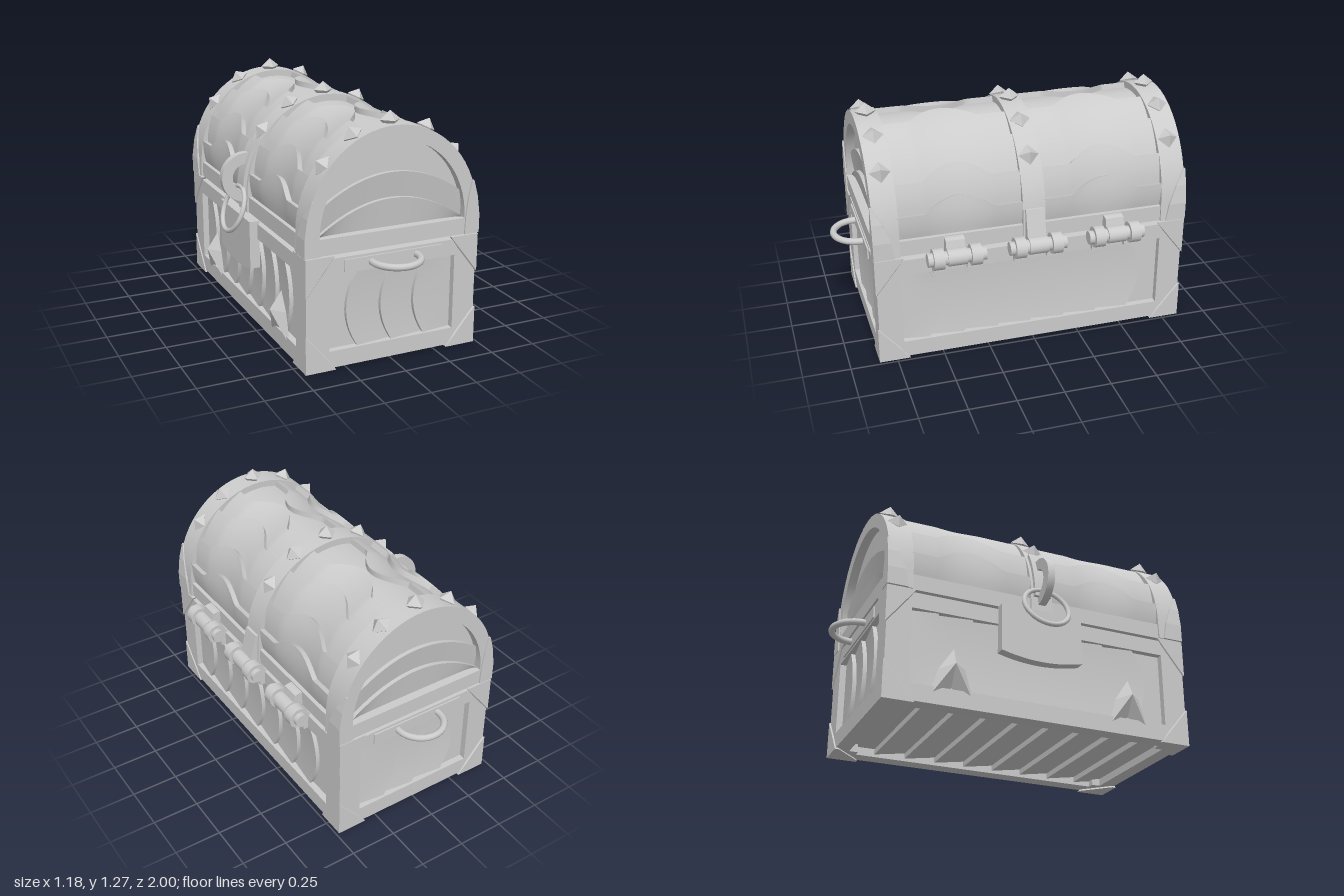
import * as THREE from 'three';
import { toCreasedNormals } from 'three/addons/utils/BufferGeometryUtils.js';
import { ConvexGeometry } from 'three/addons/geometries/ConvexGeometry.js';

const mat = new THREE.MeshStandardMaterial({ color: 0xcccccc, flatShading: true });
const smooth = new THREE.MeshStandardMaterial({ color: 0xcccccc });
const sheet = new THREE.MeshStandardMaterial({ color: 0xcccccc, side: THREE.DoubleSide });
const V = (x, y, z) => new THREE.Vector3(x, y, z);

function add(parent, name, geo, material = mat) {
  const m = new THREE.Mesh(geo, material);
  m.name = name;
  parent.add(m);
  return m;
}

// Box given by its limits
function box(parent, name, x0, x1, y0, y1, z0, z1) {
  const m = add(parent, name, new THREE.BoxGeometry(x1 - x0, y1 - y0, z1 - z0));
  m.position.set((x0 + x1) / 2, (y0 + y1) / 2, (z0 + z1) / 2);
}

function extrude(pts, depth, hole) {
  const shape = new THREE.Shape(pts);
  if (hole) shape.holes.push(new THREE.Path(hole));
  return toCreasedNormals(new THREE.ExtrudeGeometry(shape, { depth, bevelEnabled: false }), 0.5);
}

// Overlapping planks: each starts with a riser at edges[k](v) and slopes down to the next edge
function planks(parent, name, map, edges, v0, v1, n, step) {
  const pos = [], idx = [], m = 5, w = m + 2;
  for (let k = 0; k < edges.length - 1; k++) {
    const start = pos.length / 3;
    for (let j = 0; j <= n; j++) {
      const v = v0 + (v1 - v0) * j / n, a = edges[k](v), b = edges[k + 1](v);
      pos.push(...map(a, v, 0));
      for (let i = 0; i <= m; i++) pos.push(...map(a + (b - a) * i / m, v, k ? step * (1 - i / m) : 0));
    }
    for (let j = 0; j < n; j++) for (let i = 0; i < w - 1; i++) {
      const p = start + j * w + i;
      idx.push(p, p + 1, p + w, p + 1, p + w + 1, p + w);
    }
  }
  const g = new THREE.BufferGeometry();
  g.setAttribute('position', new THREE.Float32BufferAttribute(pos, 3));
  g.setIndex(idx);
  return add(parent, name, toCreasedNormals(g, 0.5), sheet);
}

// Points on an ellipse centred on x = 0
function arc(a, b, cy, t0, t1, n) {
  const pts = [];
  for (let i = 0; i <= n; i++) {
    const t = t0 + (t1 - t0) * i / n;
    pts.push(new THREE.Vector2(a * Math.cos(t), cy + b * Math.sin(t)));
  }
  return pts;
}

function buildBody() {
  const g = new THREE.Group();
  g.name = 'body';
  const bow = y => 1 - ((y - 0.3) / 0.2) ** 2;
  for (const s of [-1, 1]) {
    // Frame
    for (const [y0, y1] of [[0.01, 0.1], [0.5, 0.585]]) {
      const a = s * 0.43, b = s * 0.798;
      box(g, 'sideRail', a - 0.042, a + 0.042, y0, y1, -0.838, 0.838);
      box(g, 'endRail', -0.472, 0.472, y0, y1, b - 0.04, b + 0.04);
    }
    for (const t of [-1, 1]) {
      const x = s * 0.41, z = t * 0.774;
      box(g, 'cornerPost', x - 0.062, x + 0.062, 0.01, 0.585, z - 0.064, z + 0.064);
      // Metal corners with a thin rim
      for (const [y, h, w] of [[0, 0.2, 0.165], [0.6, -0.2, 0.155]]) {
        const X = s * 0.478, Z = t * 0.845, x1 = X - s * 0.02, z1 = Z - t * 0.02;
        add(g, 'cornerBracket', new ConvexGeometry([V(X, y, Z), V(X - s * w, y, Z), V(X - s * w, y, z1),
          V(X, y + h, Z), V(x1, y + h, z1), V(X, y, Z - t * w), V(x1, y, Z - t * w)]));
      }
    }
    // Long side planks
    const sideEdges = [() => -0.715];
    for (let k = 6; k >= 0; k--) sideEdges.push(y => 0.567 - 0.184 * k - 0.062 * bow(y));
    sideEdges.push(() => 0.715);
    const side = planks(g, 'sidePlanks', (z, y, d) => [0.437 + d, y, z], sideEdges, 0.095, 0.505, 14, 0.022);
    if (s < 0) side.rotation.y = Math.PI;
    // End planks
    const endEdges = [() => -0.355, ...[-0.19, 0, 0.185].map(x => y => x - 0.062 * bow(y)), () => 0.355];
    planks(g, 'endPlanks', (x, y, d) => [x, y, s * (0.803 + d)], endEdges, 0.095, 0.505, 14, 0.022);
    // Carrying handle
    box(g, 'handlePlate', -0.27, 0.27, 0.51, 0.572, s * 0.838 - 0.008, s * 0.838 + 0.008);
    const ring = add(g, 'handle', new THREE.TorusGeometry(0.126, 0.018, 10, 36), smooth);
    ring.rotation.x = Math.PI / 2;
    ring.position.set(0, 0.542, s * 0.856);
  }
  // Floor and inner top
  const floorEdges = [];
  for (let k = 0; k <= 9; k++) floorEdges.push(() => -0.78 + 1.56 * k / 9);
  planks(g, 'floorPlanks', (z, x, d) => [x, 0.055 - d, z], floorEdges, -0.41, 0.41, 1, 0.03);
  box(g, 'innerTop', -0.42, 0.42, 0.55, 0.58, -0.79, 0.79);
  return g;
}

function buildLid() {
  const g = new THREE.Group();
  g.name = 'lid';
  box(g, 'lidFloor', -0.43, 0.43, 0.605, 0.63, -0.8, 0.8);
  // Arched bands
  const outline = [...arc(0.47, 0.51, 0.7, 0, Math.PI, 32), new THREE.Vector2(-0.475, 0.605), new THREE.Vector2(0.475, 0.605)];
  const hole = arc(0.4, 0.445, 0.69, 0, Math.PI, 32);
  for (const s of [-1, 1]) add(g, 'endBand', extrude(outline, 0.13, hole), smooth).position.z = s * 0.773 - 0.065;
  add(g, 'middleBand', extrude(outline, 0.12), smooth).position.z = -0.06;
  // Pyramid studs, the lower ones sunk deeper
  for (const z of [-0.77, 0, 0.77]) for (const t of [0.715, 1.14, Math.PI / 2, Math.PI - 1.14, Math.PI - 0.715]) {
    const stud = new THREE.Group(), sink = 0.02 * Math.abs(Math.cos(t));
    stud.name = 'stud';
    add(stud, 'studBase', new THREE.CylinderGeometry(0.055, 0.035, 0.02, 4)).position.y = 0.005;
    add(stud, 'studPoint', new THREE.ConeGeometry(0.055, 0.045, 4)).position.y = 0.0375;
    stud.position.set((0.47 - sink) * Math.cos(t), 0.7 + (0.51 - sink) * Math.sin(t), z);
    stud.quaternion.setFromUnitVectors(V(0, 1, 0), V(Math.cos(t) / 0.47, Math.sin(t) / 0.51, 0).normalize());
    g.add(stud);
  }
  // Wavy roof planks
  const wave = z => {
    const u = Math.abs(Math.abs(z) - 0.39) / 0.18;
    return u < 1 ? Math.cos(u * Math.PI / 2) : 0;
  };
  const roof = [() => Math.PI / 2, ...[[1.32, 0.22], [0.98, 0.2], [0.57, 0.18], [0.24, 0.16]].map(([t, h]) => z => t + h * wave(z)), () => -0.03];
  for (const s of [-1, 1]) {
    box(g, 'lidRail', s * 0.445 - 0.018, s * 0.445 + 0.018, 0.605, 0.69, -0.75, 0.75);
    for (const e of [-1, 1]) {
      planks(g, 'roofPlanks', (t, z, d) => [s * (0.441 + d) * Math.cos(t), 0.7 + (0.473 + d) * Math.sin(t), z],
        roof, e * 0.05, e * 0.72, 36, 0.03);
    }
    // Stepped end panels
    const top = x => 0.69 + 0.47 * Math.sqrt(1 - (x / 0.42) ** 2);
    const panel = [top, x => Math.min(top(x), 0.972 - 0.12 * (x / 0.355) ** 2), x => 0.84 - 0.15 * (x / 0.4) ** 2, () => 0.67];
    planks(g, 'endPanel', (y, x, d) => [x, y, s * (0.79 + d)], panel, -0.41, 0.41, 28, 0.022);
    // Pointed corner guards with a thin rim
    for (const t of [-1, 1]) {
      const pts = [];
      for (const [y, xo, xi, zi] of [[0.605, 0.482, 0.4, 0.735], [0.7, 0.482, 0.404, 0.752], [0.8, 0.468, 0.416, 0.79], [0.885, 0.444, 0.434, 0.836]]) {
        const r = Math.min(0.02, xo - xi);
        pts.push(V(s * xo, y, t * 0.846), V(s * xi, y, t * 0.846), V(s * xi, y, t * (0.846 - r)),
          V(s * xo, y, t * zi), V(s * (xo - r), y, t * zi));
      }
      add(g, 'cornerGuard', new ConvexGeometry(pts));
    }
  }
  return g;
}

function buildHinge(z, leafTop) {
  const g = new THREE.Group();
  g.name = 'hinge';
  const barrel = (name, r, len, dz) => {
    const m = add(g, name, new THREE.CylinderGeometry(r, r, len, 20), smooth);
    m.rotation.x = Math.PI / 2;
    m.position.set(0.533, 0.597, dz);
  };
  barrel('pin', 0.036, 0.305, 0);
  barrel('middleKnuckle', 0.045, 0.1, 0);
  for (const s of [-1, 1]) {
    barrel('outerKnuckle', 0.056, 0.055, s * 0.098);
    box(g, 'bodyLeaf', 0.465, 0.505, 0.505, 0.6, s * 0.09 - 0.028, s * 0.09 + 0.028);
  }
  const leaf = [[0.43, 0.6], [0.53, 0.6], [0.51, 0.68], [0.485, leafTop], [0.43, leafTop]].map(p => new THREE.Vector2(...p));
  add(g, 'lidLeaf', extrude(leaf, 0.1)).position.z = -0.05;
  g.position.z = z;
  return g;
}

function buildLatch() {
  const g = new THREE.Group();
  g.name = 'latch';
  // Lock plate with a bowed lower edge
  const plate = new THREE.Shape();
  plate.moveTo(-0.225, 0.6);
  plate.lineTo(-0.225, 0.34);
  plate.quadraticCurveTo(0, 0.28, 0.225, 0.34);
  plate.lineTo(0.225, 0.6);
  const lock = add(g, 'lockPlate', new THREE.ExtrudeGeometry(plate, { depth: 0.055, bevelEnabled: false }));
  lock.rotation.y = -Math.PI / 2;
  lock.position.set(-0.455, 0, -0.02);
  // Curved mount, flat hook loop and the hanging ring
  const [t0, t1] = [Math.PI - 0.58, Math.PI];
  const mount = [...arc(0.484, 0.524, 0.7, t0, t1, 8), ...arc(0.44, 0.48, 0.7, t1, t0, 8)];
  add(g, 'hookMount', extrude(mount, 0.09), smooth).position.z = -0.045;
  const circle = r => arc(r, r, 0, 0, Math.PI * 2, 32).slice(0, -1);
  add(g, 'hookLoop', extrude(circle(0.135), 0.04, circle(0.075)), smooth).position.set(-0.455, 0.79, -0.02);
  const ring = add(g, 'pullRing', new THREE.TorusGeometry(0.125, 0.013, 10, 36), smooth);
  ring.rotation.set(0, Math.PI / 2, -0.37, 'ZYX');
  ring.position.set(-0.523, 0.62, 0);
  // Fang ornaments
  for (const z of [-0.49, 0.49]) {
    const pts = [[0.01, 0.32], [0.07, 0.22], [0.12, 0.05], [0, 0.11], [-0.12, 0.04], [-0.07, 0.2]];
    const pos = [];
    pts.forEach((p, i) => {
      const q = pts[(i + 1) % 6];
      pos.push(-0.517, 0.22, z, -0.455, p[1], z + p[0], -0.455, q[1], z + q[0]);
    });
    const geo = new THREE.BufferGeometry();
    geo.setAttribute('position', new THREE.Float32BufferAttribute(pos, 3));
    geo.computeVertexNormals();
    add(g, 'fang', geo, sheet);
  }
  return g;
}

export function createModel() {
  const model = new THREE.Group();
  model.name = 'chest';
  const body = buildBody(), lid = buildLid();
  body.position.x = lid.position.x = 0.006;
  model.add(body, lid, buildLatch());
  model.add(buildHinge(-0.43, 0.685), buildHinge(0, 0.78), buildHinge(0.43, 0.685));
  return model;
}
